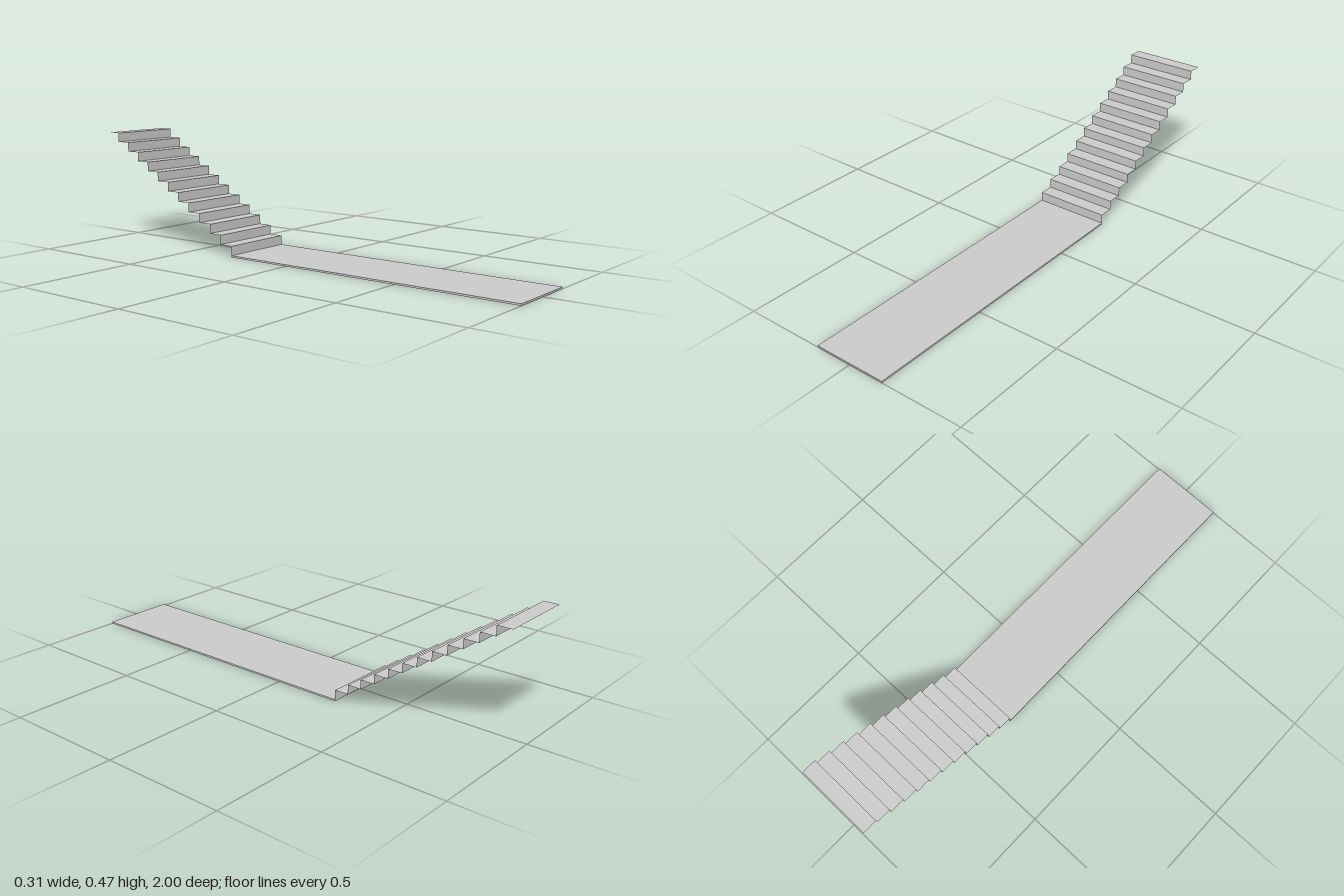
import * as THREE from 'three';

export function createModel() {
  const model = new THREE.Group();
  const solid = new THREE.MeshStandardMaterial({ color: 0xcccccc, flatShading: true });
  const sheet = new THREE.MeshStandardMaterial({ color: 0xcccccc, flatShading: true, side: THREE.DoubleSide });

  const width = 0.311, landing = 0.007, edge = -0.28;
  const steps = 12, depth = 0.06, rise = (0.466 - landing) / steps;

  function add(parent, name, geometry, material, x, y, z) {
    const mesh = new THREE.Mesh(geometry, material);
    mesh.name = name;
    mesh.position.set(x, y, z);
    parent.add(mesh);
  }

  // Long thin walkway slab in front of the stairs
  add(model, 'walkway', new THREE.BoxGeometry(width, landing, 1 - edge), solid,
    -0.0015, landing / 2, (1 + edge) / 2);

  // Open flight of thin risers and treads; the two lowest steps sit slightly to one side
  const stairs = new THREE.Group();
  stairs.name = 'stairs';
  model.add(stairs);
  const riser = new THREE.PlaneGeometry(width, rise);
  const tread = new THREE.PlaneGeometry(width, depth).rotateX(-Math.PI / 2);
  for (let i = 0; i < steps; i++) {
    const x = i < 2 ? -0.0015 : 0.0005;
    const y = landing + i * rise, z = edge - i * depth;
    add(stairs, `riser${i + 1}`, riser, sheet, x, y + rise / 2, z);
    add(stairs, `tread${i + 1}`, tread, sheet, x, y + rise, z - depth / 2);
  }
  return model;
}
